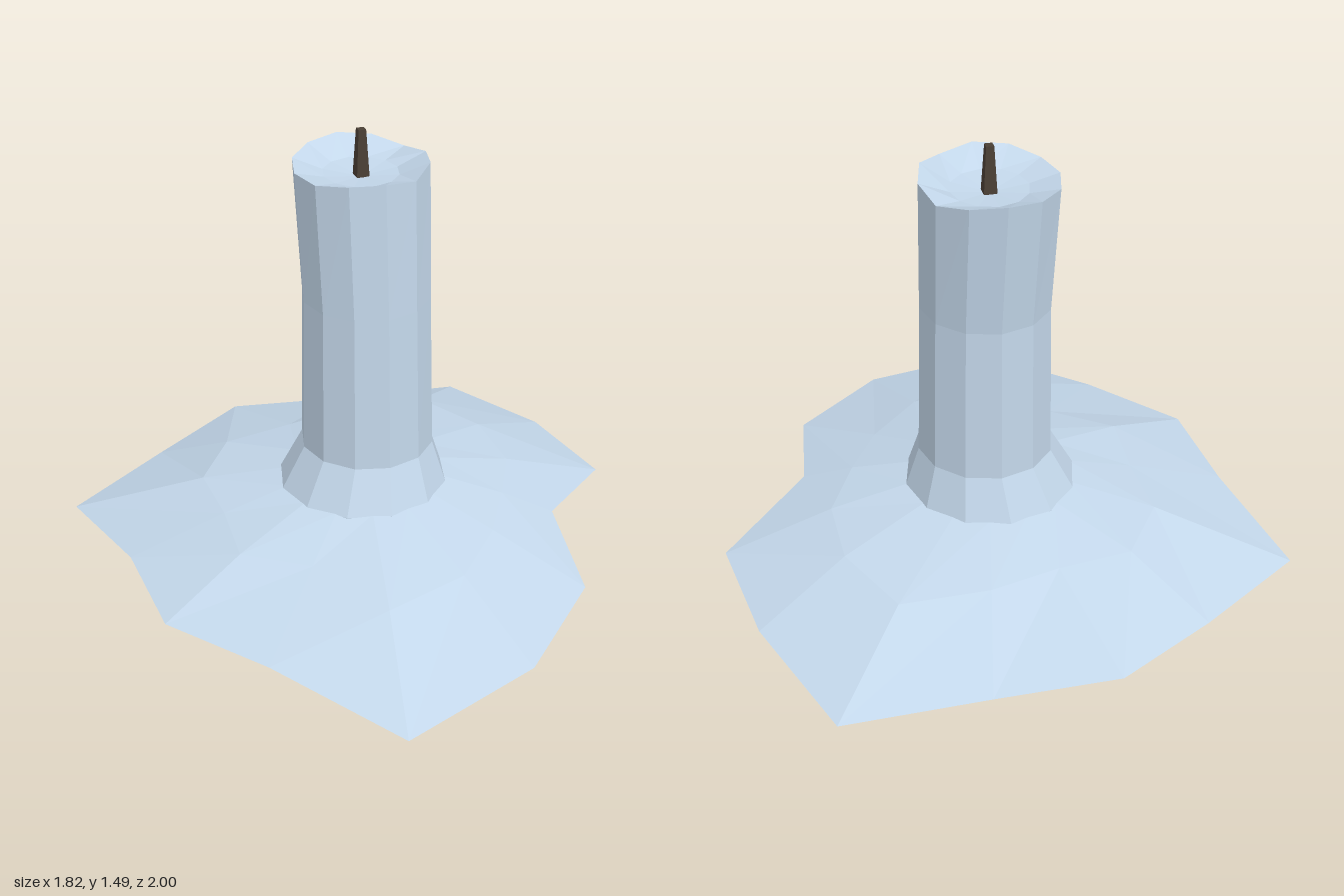
import * as THREE from 'three';

const wax = new THREE.MeshStandardMaterial({ color: 0xc3d7ea, flatShading: true, side: THREE.DoubleSide });
const char = new THREE.MeshStandardMaterial({ color: 0x4a3f35, flatShading: true });

// Joins closed rings of points, listed in order along the outward-facing surface.
function loft(rings) {
  const n = rings[0].length;
  const index = [];
  for (let i = 0; i < rings.length - 1; i++) {
    for (let j = 0; j < n; j++) {
      const k = (j + 1) % n;
      const a = i * n + j, b = i * n + k, c = a + n, d = b + n;
      index.push(a, c, b, b, c, d);
    }
  }
  const geo = new THREE.BufferGeometry();
  geo.setAttribute('position', new THREE.Float32BufferAttribute(rings.flat(2), 3));
  geo.setIndex(index);
  const flat = geo.toNonIndexed();
  flat.computeVertexNormals();
  return flat;
}

// Ring around (cx, cz); radius and height may vary with the point number.
function ring(n, cx, cz, rx, rz, y) {
  return Array.from({ length: n }, (_, j) => {
    const a = (j / n) * Math.PI * 2;
    return [cx + rx(j) * Math.cos(a), y(j), cz + rz(j) * Math.sin(a)];
  });
}

const same = (v) => () => v;

function named(name, geometry, material) {
  const mesh = new THREE.Mesh(geometry, material);
  mesh.name = name;
  return mesh;
}

export function createModel() {
  const group = new THREE.Group();
  group.name = 'meltedCandle';

  // Pool of melted wax: an uneven sheet sloping out from the candle foot
  const edgeR = [0.90, 0.655, 0.857, 0.988, 1.135, 0.903, 0.901, 0.83, 1.026, 0.884, 0.919, 0.888, 1.078, 0.937];
  const edgeY = [0.07, 0.13, 0.08, 0.045, 0, 0.065, 0.075, 0.085, 0.04, 0.05, 0.07, 0.045, 0.02, 0.06];
  const midR = [0.54, 0.48, 0.51, 0.607, 0.694, 0.508, 0.575, 0.50, 0.563, 0.579, 0.50, 0.55, 0.67, 0.60];
  const midY = [0.19, 0.195, 0.185, 0.17, 0.16, 0.185, 0.185, 0.19, 0.19, 0.19, 0.195, 0.19, 0.18, 0.19];
  const pool = [[edgeR, edgeY], [midR, midY]].map(([r, y]) =>
    ring(14, 0.01, -0.105, (j) => r[j], (j) => r[j], (j) => y[j]));
  pool.push(ring(14, 0.01, -0.105, same(0.275), same(0.275), same(0.25)));
  group.add(named('waxPool', loft(pool), wax));

  // Candle: closed foot, flared base, slightly leaning shaft, wavy rim, hollow top
  const rimY = [1.385, 1.395, 1.375, 1.39, 1.385, 1.37, 1.37, 1.375, 1.385, 1.395, 1.385, 1.365];
  const sections = [
    [0.01, -0.105, 0, 0, 0.21],
    [0.01, -0.105, 0.29, 0.29, 0.21],
    [0.007, -0.105, 0.288, 0.292, 0.245],
    [0.025, -0.11, 0.225, 0.23, 0.39],
    [0.025, -0.115, 0.215, 0.217, 0.93],
    [0.02, -0.15, 0.223, 0.235, null],
    [0.02, -0.15, 0.125, 0.13, 1.345],
    [0.02, -0.15, 0, 0, 1.33],
  ];
  const body = sections.map(([cx, cz, rx, rz, y]) =>
    ring(12, cx, cz, same(rx), same(rz), (j) => (y === null ? rimY[j] : y)));
  group.add(named('candleBody', loft(body), wax));

  // Wick: tapered square stub
  const wickGeo = new THREE.CylinderGeometry(0.018, 0.031, 0.17, 4);
  wickGeo.rotateY(Math.PI / 4);
  const wick = named('wick', wickGeo, char);
  wick.position.set(0.022, 1.405, -0.152);
  group.add(wick);

  return group;
}
